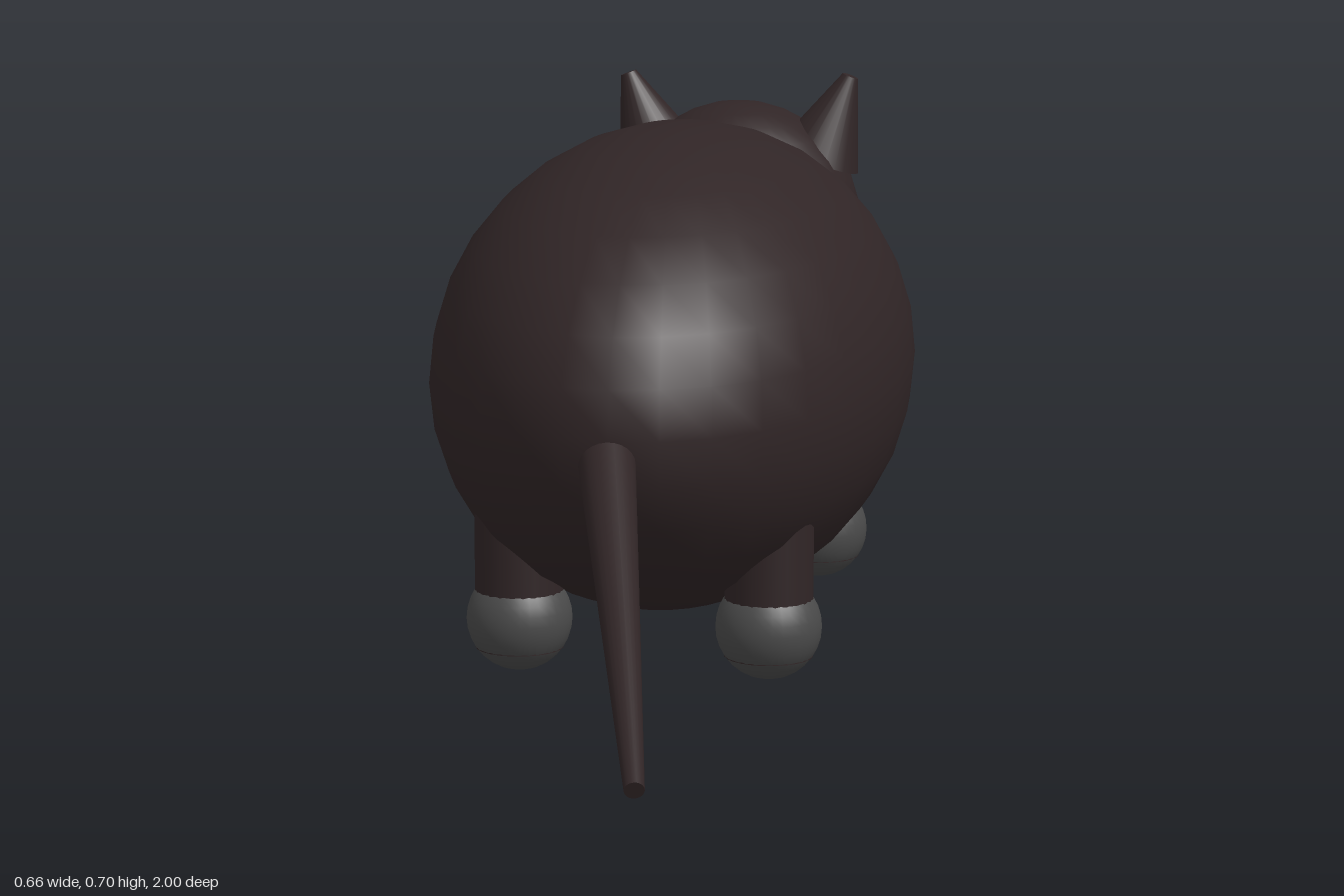
import * as THREE from 'three';

const mat = (name, color) => {
  const m = new THREE.MeshStandardMaterial({ color });
  m.name = name;
  return m;
};

export function createModel() {
  const group = new THREE.Group();
  const fur = mat('dark fur', 0x302526);
  const pawGrey = mat('paw grey', 0x4a4a4a);
  const eyeOrange = mat('eye orange', 0xd46a4c);

  const add = (name, geometry, material, x, y, z) => {
    const mesh = new THREE.Mesh(geometry, material);
    mesh.name = name;
    mesh.position.set(x, y, z);
    group.add(mesh);
    return mesh;
  };
  const ball = (r) => new THREE.SphereGeometry(r, 32, 16);

  // Tapered round bar from point a (radius ra) to point b (radius rb)
  const bar = (name, a, b, ra, rb, material) => {
    const dir = b.clone().sub(a);
    const mid = a.clone().add(b).multiplyScalar(0.5);
    const mesh = add(name, new THREE.CylinderGeometry(rb, ra, dir.length(), 24), material, mid.x, mid.y, mid.z);
    mesh.quaternion.setFromUnitVectors(new THREE.Vector3(0, 1, 0), dir.normalize());
    return mesh;
  };
  const v = (x, y, z) => new THREE.Vector3(x, y, z);

  // Body and head
  add('body', ball(0.329), fur, 0, 0.374, -0.145).scale.z = 1.81;
  add('head', ball(0.189), fur, 0, 0.473, -0.808);

  for (const [side, s] of [['left', 1], ['right', -1]]) {
    // Ears lean outwards and end in small blunt tips
    bar(`${side}Ear`, v(s * 0.124, 0.576, -0.808), v(s * 0.1725, 0.7025, -0.808), 0.066, 0.0125, fur);
    add(`${side}Eye`, ball(0.031), eyeOrange, s * 0.09, 0.498, -0.968);

    // Legs run up into the body, paws are round
    for (const [end, z] of [['front', -0.445], ['back', 0.157]]) {
      bar(`${side}${end}Leg`, v(s * 0.168, 0.033, z), v(s * 0.168, 0.27, z), 0.0595, 0.0595, fur);
      add(`${side}${end}Paw`, ball(0.071), pawGrey, s * 0.168, 0.073, z);
    }
  }

  // Tail tapers down and to one side
  bar('tail', v(0.001, 0.347, 0.46), v(0.119, 0.088, 0.994), 0.036, 0.012, fur);

  return group;
}
